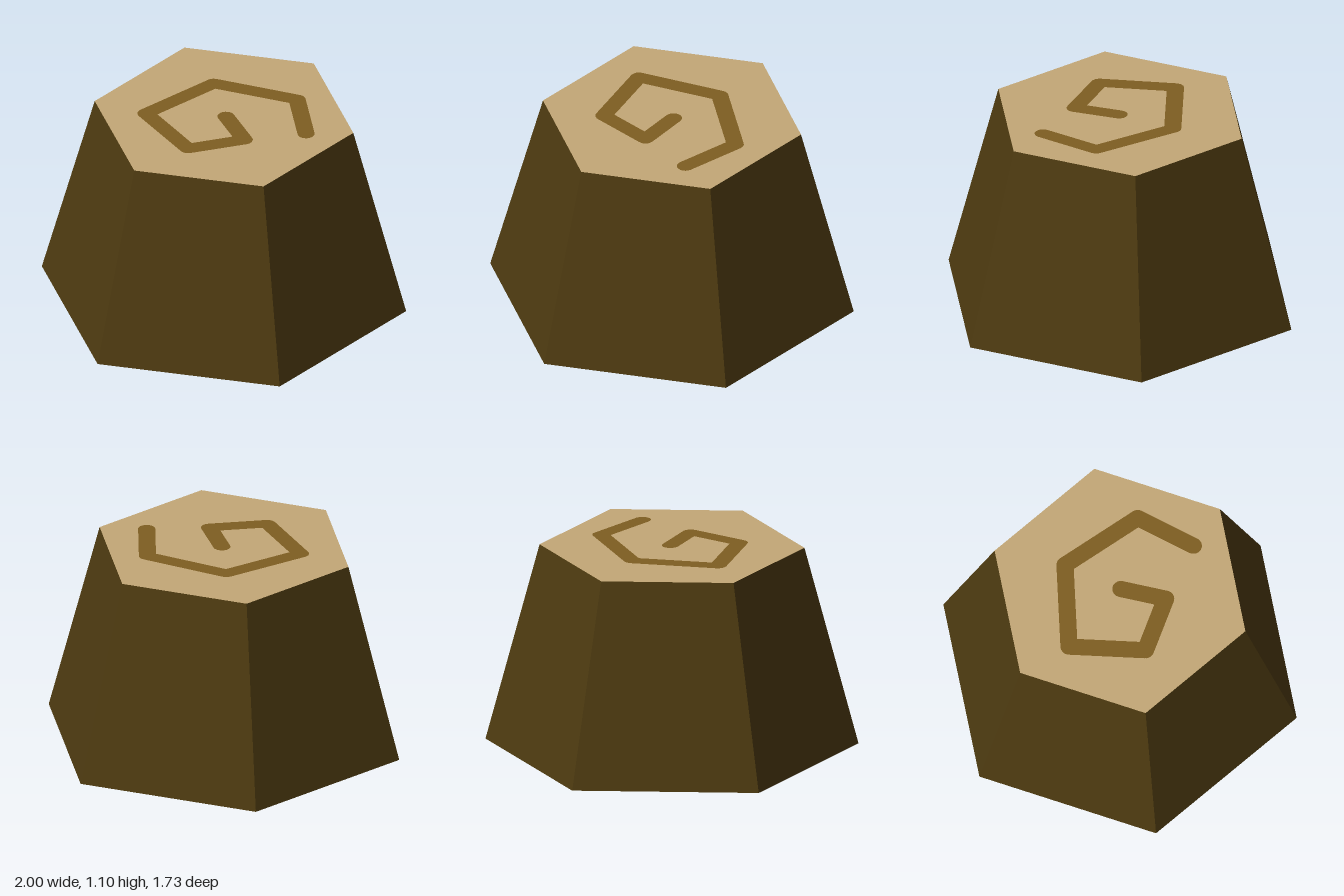
import * as THREE from 'three';
import { mergeGeometries } from 'three/addons/utils/BufferGeometryUtils.js';

const HEIGHT = 1.1;
const TOP_RADIUS = 0.71;
const BOTTOM_RADIUS = 1;

// Spiral ring path on the top cut, as [x, z], from the centre outwards
const SPIRAL = [
  [0.01, -0.005], [0.155, 0.195], [-0.12, 0.345], [-0.415, 0.06],
  [-0.125, -0.305], [0.345, -0.25], [0.465, 0.065],
];
const HALF_WIDTH = 0.046;

function material(name, color) {
  const m = new THREE.MeshStandardMaterial({ color });
  m.name = name;
  return m;
}

function part(name, geometry, mat) {
  const mesh = new THREE.Mesh(geometry, mat);
  mesh.name = name;
  return mesh;
}

// Flat stroke: a strip for each segment and a disc at each point, facing +y
function strokeGeometry(points, halfWidth) {
  const pieces = [];
  points.forEach(([x, z], i) => {
    pieces.push(new THREE.CircleGeometry(halfWidth, 20).rotateX(-Math.PI / 2).translate(x, 0, z));
    if (i === 0) return;
    const [px, pz] = points[i - 1];
    const length = Math.hypot(x - px, z - pz);
    pieces.push(new THREE.PlaneGeometry(length, halfWidth * 2)
      .rotateX(-Math.PI / 2)
      .rotateY(-Math.atan2(z - pz, x - px))
      .translate((x + px) / 2, 0, (z + pz) / 2));
  });
  return mergeGeometries(pieces);
}

// Hexagonal cut face with its painted spiral, facing +y
function cutFace(name, wood, ring) {
  const group = new THREE.Group();
  group.name = name;
  group.add(part('cutWood', new THREE.CircleGeometry(TOP_RADIUS, 6).rotateX(-Math.PI / 2), wood));
  const spiral = part('growthRing', strokeGeometry(SPIRAL, HALF_WIDTH), ring);
  spiral.position.y = 0.002;
  group.add(spiral);
  return group;
}

export function createModel() {
  const bark = material('dark bark', 0x4d3a10);
  const wood = material('pale wood', 0xc4a877);
  const ring = material('ring brown', 0x7f5e22);

  const stump = new THREE.Group();
  stump.name = 'treeStump';

  // Tapered six-sided trunk with a corner on the x axis
  const trunk = new THREE.CylinderGeometry(TOP_RADIUS, BOTTOM_RADIUS, HEIGHT, 6, 1, true, Math.PI / 2)
    .toNonIndexed();
  trunk.computeVertexNormals();
  trunk.translate(0, HEIGHT / 2, 0);
  stump.add(part('barkSides', trunk, bark));

  // Top cut
  const top = cutFace('topCut', wood, ring);
  top.position.y = HEIGHT;
  stump.add(top);

  // Bottom cut: the same face turned over and enlarged
  const bottom = cutFace('bottomCut', wood, ring);
  const s = BOTTOM_RADIUS / TOP_RADIUS;
  bottom.scale.set(s, 1, s);
  bottom.rotation.x = Math.PI;
  stump.add(bottom);

  return stump;
}
